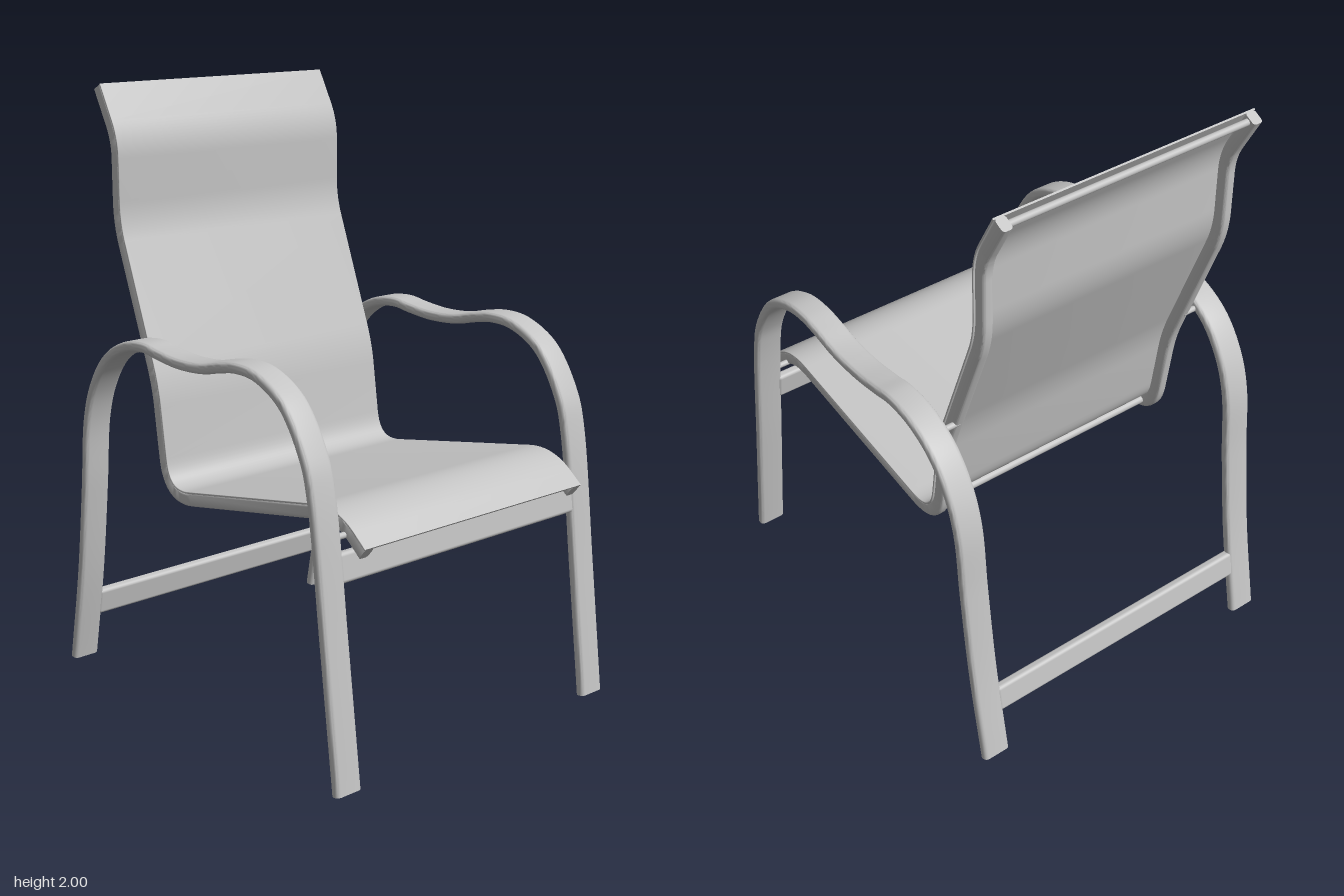
import * as THREE from 'three';
import { toCreasedNormals } from 'three/addons/utils/BufferGeometryUtils.js';
import { RoundedBoxGeometry } from 'three/addons/geometries/RoundedBoxGeometry.js';

const grey = new THREE.MeshStandardMaterial({ color: 0xc4c4c4 });
grey.name = 'light grey';

// Side-plane point: given as (z, y)
const p = (z, y) => new THREE.Vector3(0, y, z);

// Rounded rectangle section, counter-clockwise, as [x, v] pairs
function section(w, h, r, v0 = 0) {
  const pts = [];
  [[1, 1], [-1, 1], [-1, -1], [1, -1]].forEach(([sx, sv], k) => {
    for (let i = 0; i <= 4; i++) {
      const a = (k + i / 4) * Math.PI / 2;
      pts.push([sx * (w / 2 - r) + r * Math.cos(a), v0 + sv * (h / 2 - r) + r * Math.sin(a)]);
    }
  });
  return pts;
}

// Sweep a section along a path lying in a plane of constant x
function sweep(path, sec, x0) {
  const pos = [], idx = [], m = sec.length, n = path.length;
  path.forEach((c, i) => {
    const t = path[Math.min(i + 1, n - 1)].clone().sub(path[Math.max(i - 1, 0)]).normalize();
    for (const [x, v] of sec) pos.push(x0 + x, c.y + t.z * v, c.z - t.y * v);
  });
  for (let i = 0; i < n - 1; i++) {
    for (let j = 0; j < m; j++) {
      const a = i * m + j, b = i * m + (j + 1) % m;
      idx.push(a, b, b + m, a, b + m, a + m);
    }
  }
  const e = (n - 1) * m;
  for (let j = 1; j < m - 1; j++) idx.push(0, j + 1, j, e, e + j, e + j + 1);
  const g = new THREE.BufferGeometry();
  g.setAttribute('position', new THREE.Float32BufferAttribute(pos, 3));
  g.setIndex(idx);
  return toCreasedNormals(g, 0.7);
}

// Polyline with rounded corners; each corner is [z, y, cut length]
function roundedPath(corners) {
  const out = [];
  corners.forEach(([z, y, cut], i) => {
    const c = p(z, y);
    if (!cut) { out.push(c); return; }
    const toward = (q) => c.clone().add(p(q[0], q[1]).sub(c).setLength(cut));
    const bend = new THREE.QuadraticBezierCurve3(toward(corners[i - 1]), c, toward(corners[i + 1]));
    out.push(...bend.getPoints(12));
  });
  return out;
}

export function createModel() {
  const model = new THREE.Group();
  const add = (name, geo) => {
    const mesh = new THREE.Mesh(geo, grey);
    mesh.name = name;
    model.add(mesh);
    return mesh;
  };
  // Round bar running across the chair
  const rod = (name, x, z, y, r, len) => {
    const mesh = add(name, new THREE.CylinderGeometry(r, r, len, 16));
    mesh.rotation.z = Math.PI / 2;
    mesh.position.set(x, y, z);
  };

  // Looped leg and armrest line, front foot to back foot
  const armLine = new THREE.CatmullRomCurve3([
    p(0.697, 0.004), p(0.642, 0.45), p(0.585, 0.894), p(0.553, 1.005), p(0.458, 1.148),
    p(0.34, 1.211), p(0.246, 1.22), p(0.167, 1.208), p(0.077, 1.188), p(-0.045, 1.181),
    p(-0.15, 1.19), p(-0.23, 1.2), p(-0.336, 1.183), p(-0.442, 1.122), p(-0.52, 1.016),
    p(-0.563, 0.894), p(-0.59, 0.656), p(-0.632, 0.339), p(-0.695, 0.004),
  ], false, 'centripetal').getPoints(120);

  // Seat and back line, top of back to front of seat
  const seatLine = roundedPath([
    [-0.613, 1.986], [-0.523, 1.82, 0.06], [-0.523, 1.55, 0.07], [-0.331, 1.035, 0.07],
    [-0.28, 0.667, 0.13], [0.56, 0.823, 0.09], [0.677, 0.727],
  ]);

  for (const s of [1, -1]) {
    const side = s > 0 ? 'left' : 'right';
    add(side + 'LegAndArm', sweep(armLine, section(0.097, 0.034, 0.014), s * 0.545));
    add(side + 'SeatRail', sweep(seatLine, section(0.036, 0.046, 0.01, -0.002), s * 0.451));
    // Pins joining the seat rails to the legs and arms
    rod(side + 'FrontPin', s * 0.485, 0.6, 0.767, 0.01, 0.07);
    rod(side + 'BackPin', s * 0.485, -0.392, 1.152, 0.01, 0.07);
  }

  // Sling fabric stretched over the rails
  add('slingFabric', sweep(seatLine, section(0.944, 0.006, 0.002, 0.022), 0));

  // Spreader rods between the rails
  rod('topSpreader', 0, -0.607, 1.972, 0.011, 0.88);
  rod('bendSpreader', 0, -0.235, 0.7, 0.014, 0.88);
  rod('frontSpreader', 0, 0.657, 0.738, 0.011, 0.88);

  // Flat crossbars between the legs
  const crossbar = (name, y, z, tilt) => {
    const bar = add(name, new RoundedBoxGeometry(1.02, 0.094, 0.034, 3, 0.012));
    bar.position.set(0, y, z);
    bar.rotation.x = tilt;
  };
  crossbar('frontCrossbar', 0.676, 0.613, -0.128);
  crossbar('backCrossbar', 0.203, -0.656, 0.18);

  return model;
}
